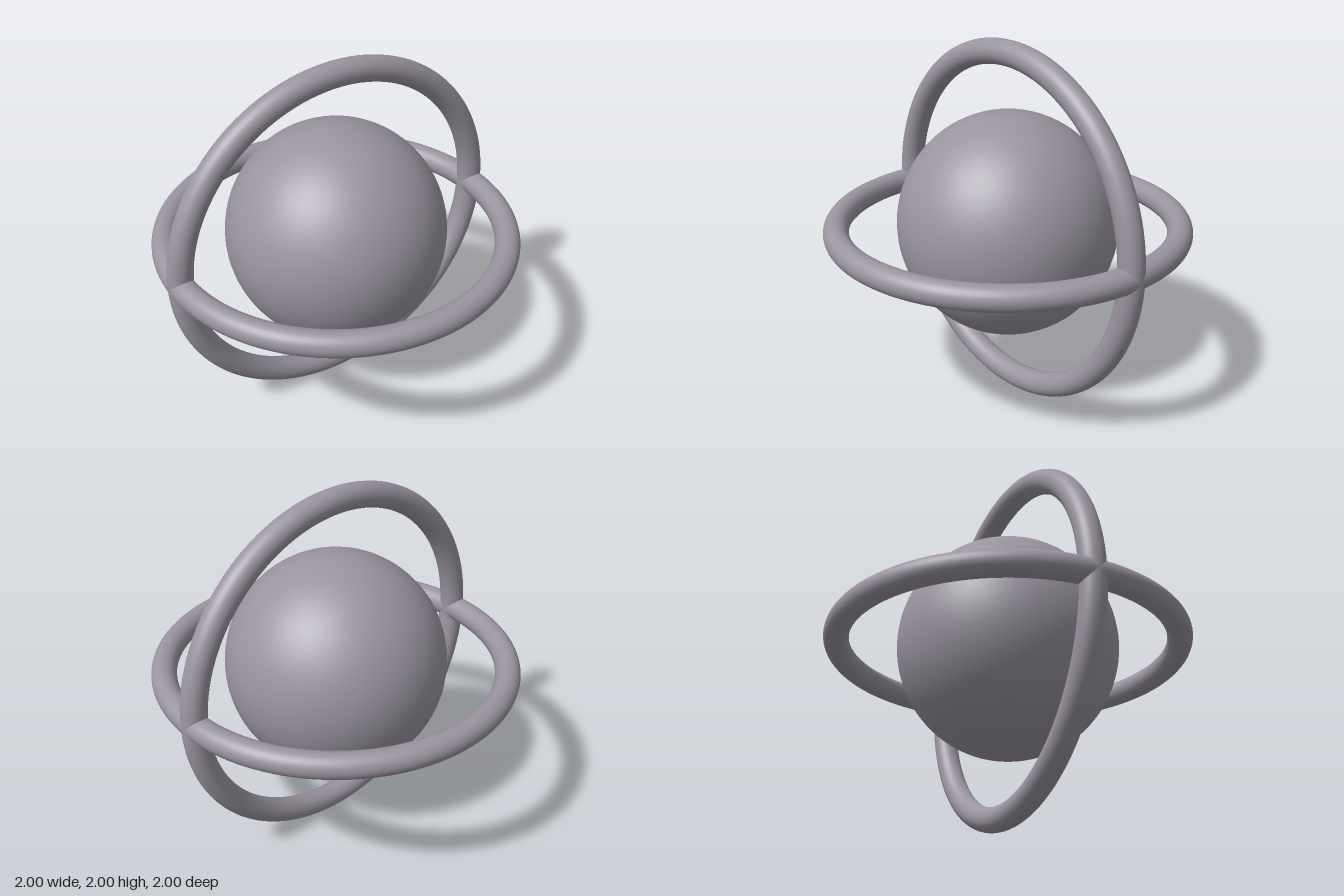
import * as THREE from 'three';

export function createModel() {
  const model = new THREE.Group();
  model.name = 'ringedSphere';

  const greyMauve = new THREE.MeshStandardMaterial({ color: 0x9a94a0 });
  greyMauve.name = 'greyMauve';

  const add = (name, geometry) => {
    const mesh = new THREE.Mesh(geometry, greyMauve);
    mesh.name = name;
    mesh.position.y = 1;
    model.add(mesh);
    return mesh;
  };

  // Central ball, very slightly taller than wide
  add('coreSphere', new THREE.SphereGeometry(0.606, 64, 48)).scale.y = 1.02;

  // Two equal rings crossing at right angles on the x axis
  const ring = new THREE.TorusGeometry(0.932, 0.068, 32, 128);
  add('uprightRing', ring);
  add('levelRing', ring).rotation.x = Math.PI / 2;

  return model;
}
